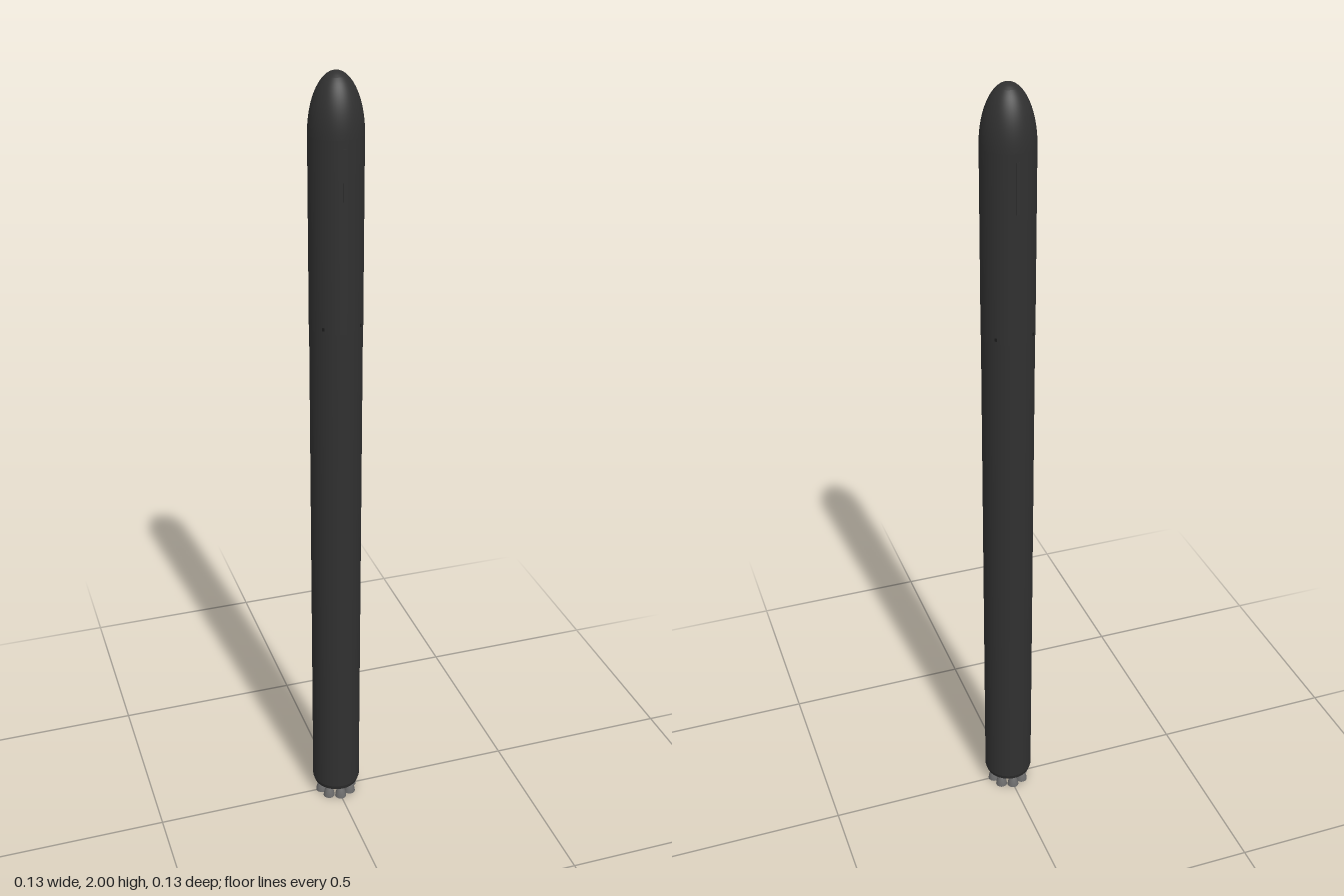
import * as THREE from 'three';

export function createModel() {
  const model = new THREE.Group();
  const mat = (name, color, side = THREE.FrontSide) => {
    const m = new THREE.MeshStandardMaterial({ color, side });
    m.name = name;
    return m;
  };
  const hull = mat('charcoal hull', 0x303030);
  const dark = mat('dark base', 0x1c1c1c);
  const metal = mat('engine metal', 0x6c6c6c, THREE.DoubleSide);

  const add = (name, geometry, material, parent = model) => {
    const mesh = new THREE.Mesh(geometry, material);
    mesh.name = name;
    parent.add(mesh);
    return mesh;
  };
  // Profiles run from bottom to top as [radius, height]
  const lathe = (points, segments = 48) =>
    new THREE.LatheGeometry(points.map(([r, y]) => new THREE.Vector2(r, y)), segments);

  const R = 0.065, SEAM = 1.4, SHOULDER = 1.86, TIP = 2;

  // First stage, with a chamfered skirt
  add('skirt', lathe([[0.06, 0.037], [R - 0.0007, 0.05]]), hull);
  add('firstStage', lathe([[R - 0.0007, 0.05], [R - 0.0007, SEAM]]), hull);

  // Upper stage overhangs the first by a fine step
  add('stageSeam', lathe([[R - 0.002, SEAM], [R, SEAM]]), dark);
  add('upperStage', lathe([[R, SEAM], [R, SHOULDER]]), hull);

  // Elliptical nose and its small domed cap
  const ellipse = (from, to, n) => Array.from({ length: n + 1 }, (_, i) => {
    const a = from + (to - from) * i / n;
    return [Math.max(R * Math.cos(a), 0), SHOULDER + (TIP - SHOULDER) * Math.sin(a)];
  });
  const capAngle = Math.acos(0.4);
  add('nose', lathe(ellipse(0, capAngle, 14)), hull);
  add('noseCap', lathe(ellipse(capAngle, Math.PI / 2, 5)), hull);

  // Slim raised rails on the front and back of the upper stage
  for (const s of [1, -1]) {
    const rail = add('rail', new THREE.BoxGeometry(0.008, 0.12, 0.006), hull);
    rail.position.set(0, 1.78, s * (R - 0.001));
  }

  // Small latches around the stage seam
  for (let i = 0; i < 4; i++) {
    const a = Math.PI / 4 + i * Math.PI / 2;
    const latch = add('latch', new THREE.BoxGeometry(0.005, 0.008, 0.003), dark);
    latch.position.set(Math.sin(a) * R, SEAM + 0.012, Math.cos(a) * R);
    latch.rotation.y = a;
  }

  // Closed underside
  const base = add('basePlate', new THREE.CircleGeometry(0.06, 48), dark);
  base.rotation.x = Math.PI / 2;
  base.position.y = 0.037;

  // Nine engines: one in the centre and eight in a ring
  const bell = lathe([[0.0155, 0], [0.0145, 0.008], [0.012, 0.018], [0.0085, 0.027], [0.006, 0.031], [0.006, 0.04]], 20);
  const throat = new THREE.CircleGeometry(0.0085, 20);
  const engines = new THREE.Group();
  engines.name = 'engines';
  model.add(engines);
  for (let i = 0; i < 9; i++) {
    const engine = new THREE.Group();
    engine.name = 'engine';
    const a = i * Math.PI / 4, r = i < 8 ? 0.0425 : 0;
    engine.position.set(Math.sin(a) * r, 0, Math.cos(a) * r);
    add('bell', bell, metal, engine);
    const disc = add('throat', throat, metal, engine);
    disc.rotation.x = Math.PI / 2;
    disc.position.y = 0.027;
    engines.add(engine);
  }

  return model;
}
